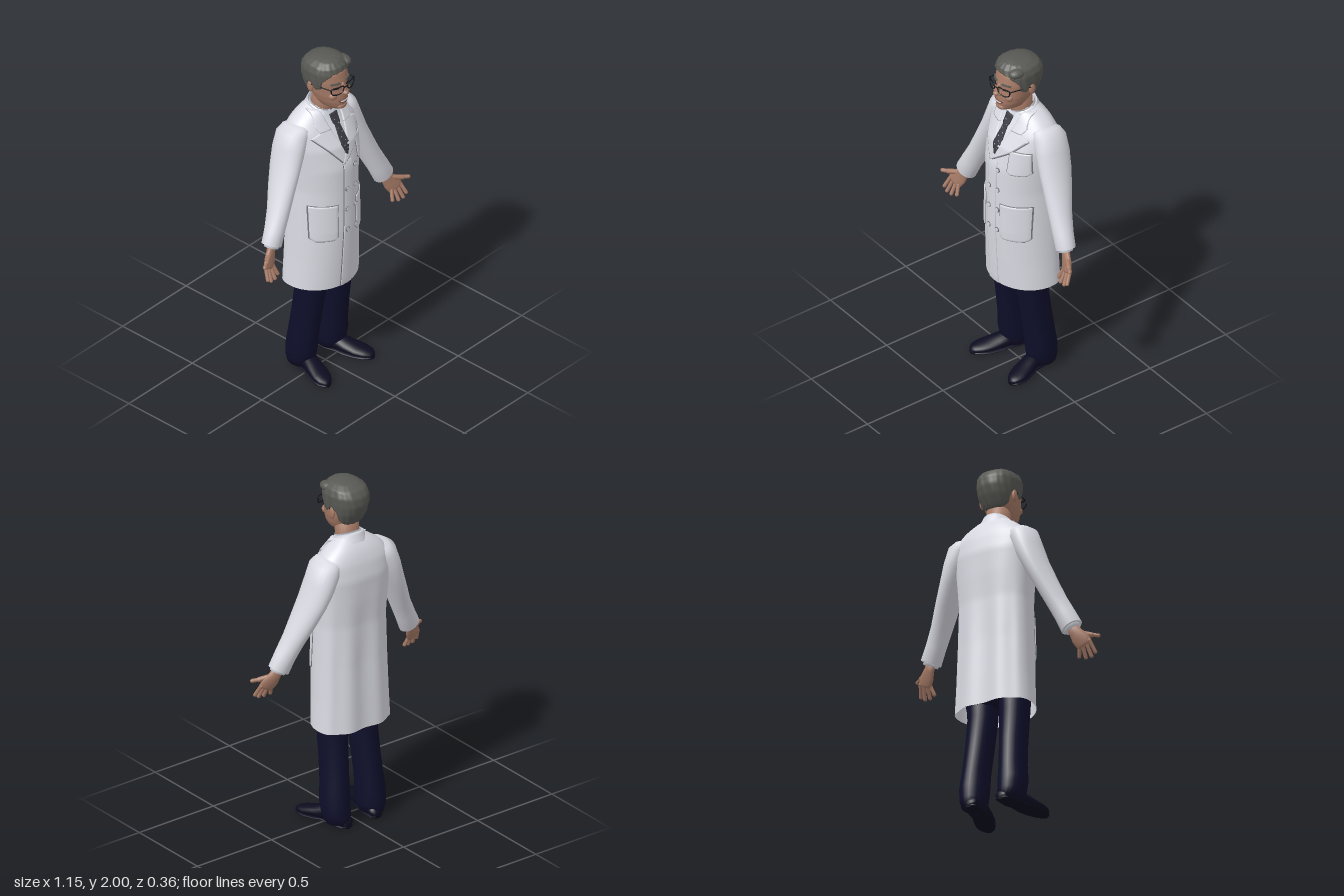
import * as THREE from 'three';
import { mergeVertices } from 'three/addons/utils/BufferGeometryUtils.js';

const mat = (name, color) => new THREE.MeshStandardMaterial({ name, color, side: THREE.DoubleSide });
const V = (x, y, z) => new THREE.Vector3(x, y, z);

// Smooth surface from a rule f(u, v) -> [x, y, z]
function grid(f, nu, nv) {
  const pos = [], idx = [];
  for (let j = 0; j <= nv; j++) for (let i = 0; i <= nu; i++) pos.push(...f(i / nu, j / nv));
  for (let j = 0; j < nv; j++) for (let i = 0; i < nu; i++) {
    const a = j * (nu + 1) + i, b = a + 1, c = b + nu + 1, d = a + nu + 1;
    idx.push(a, b, c, a, c, d);
  }
  let g = new THREE.BufferGeometry();
  g.setAttribute('position', new THREE.Float32BufferAttribute(pos, 3));
  g.setIndex(idx);
  g = mergeVertices(g, 1e-5);
  g.computeVertexNormals();
  return g;
}

// Linear lookup in a table of rows sorted by their first value
function rowAt(rows, k) {
  let i = 0;
  while (i < rows.length - 2 && k > rows[i + 1][0]) i++;
  const a = rows[i], b = rows[i + 1];
  const t = Math.min(1, Math.max(0, (k - a[0]) / (b[0] - a[0])));
  return a.map((v, n) => v + (b[n] - v) * t);
}

// Body tables: y, half width, front z, back z
const coat = { zc: -0.05, rows: [[.58, .226, .155, -.18], [.75, .217, .165, -.175], [.95, .21, .175, -.168],
  [1.2, .203, .172, -.165], [1.34, .212, .17, -.175], [1.475, .225, .14, -.18], [1.565, .225, .088, -.165],
  [1.62, .175, .058, -.145], [1.66, .12, .043, -.12], [1.69, .075, .03, -.09]] };
const head = { zc: .035, rows: [[1.69, .012, .09, .02], [1.697, .035, .115, .01], [1.715, .058, .132, -.02],
  [1.75, .077, .137, -.05], [1.79, .089, .135, -.08], [1.83, .095, .127, -.1], [1.87, .1, .127, -.115],
  [1.92, .099, .114, -.118], [1.955, .084, .094, -.095], [1.98, .045, .06, -.05], [1.985, 0, .036, .034]] };
const hair = { zc: .02, rows: [[1.74, .07, .1, -.06], [1.78, .09, .12, -.09], [1.83, .104, .132, -.118],
  [1.88, .11, .134, -.133], [1.93, .113, .127, -.13], [1.965, .101, .117, -.108], [1.988, .068, .09, -.065],
  [1.997, .035, .06, -.025], [2, 0, .021, .019]] };

// Point on a body table at height y, angle a measured from the front
function ring(t, y, a, grow = 0) {
  const [, w, zf, zb] = rowAt(t.rows, y), s = Math.sin(a), c = Math.cos(a);
  if (c >= 0) return [(w + grow) * s, y, t.zc + (zf - t.zc + grow) * c];
  return [(w + grow) * Math.sign(s) * Math.pow(Math.abs(s), .8), y, t.zc - (t.zc - zb + grow) * Math.pow(-c, .8)];
}
// Bell-shaped bump of the given sharpness
const bump = (x, sharp) => Math.exp(-Math.pow(x * sharp, 2));

// Point lifted off the front of a body table
function onFront(t, x, y, lift) {
  const [, w, zf] = rowAt(t.rows, y), d = zf - t.zc;
  const z = d * Math.sqrt(Math.max(.01, 1 - (x / w) * (x / w)));
  const n = V(x / (w * w), 0, z / (d * d)).normalize();
  return [x + n.x * lift, y, t.zc + z + n.z * lift];
}
// Thin plate on a front surface; rows are y, left x, right x
function patch(t, rows, lift) {
  const y0 = rows[0][0], y1 = rows[rows.length - 1][0], nu = 12, nv = 24;
  return grid((u, v) => {
    const edge = u === 0 || u === 1 || v === 0 || v === 1;
    const cu = Math.min(1, Math.max(0, (u * nu - 1) / (nu - 2))), cv = Math.min(1, Math.max(0, (v * nv - 1) / (nv - 2)));
    const [y, a, b] = rowAt(rows, y0 + (y1 - y0) * cv);
    return onFront(t, a + (b - a) * cu, y, edge ? 0 : lift);
  }, nu, nv);
}
const flip = rows => rows.map(([y, a, b]) => [y, -b, -a]);

// Closed tube of elliptical sections: centre, radius along p, radius along q
function limb(secs, p, q, s, n = 24) {
  const last = secs.length - 1, m = last + 2;
  const run = V(...secs[last]).sub(V(...secs[0]));
  const turn = s * Math.sign(V(...p).cross(V(...q)).dot(run));
  return grid((u, v) => {
    const k = Math.round(v * m) - 1, e = secs[Math.min(last, Math.max(0, k))];
    const f = k < 0 || k > last ? 0 : 1, a = turn * u * Math.PI * 2;
    const c = Math.cos(a) * e[3] * f, d = Math.sin(a) * e[4] * f;
    return [s * (e[0] + p[0] * c + q[0] * d), e[1] + p[1] * c + q[1] * d, e[2] + p[2] * c + q[2] * d];
  }, n, m);
}
function capsule(a, b, r) {
  const d = b.clone().sub(a), g = new THREE.CapsuleGeometry(r, d.length(), 5, 10);
  g.applyQuaternion(new THREE.Quaternion().setFromUnitVectors(V(0, 1, 0), d.clone().normalize()));
  const m = a.clone().add(b).multiplyScalar(.5);
  return g.translate(m.x, m.y, m.z);
}
const ball = (x, y, z, rx, ry, rz) => new THREE.SphereGeometry(1, 18, 12).scale(rx, ry, rz).translate(x, y, z);

export function createModel() {
  const root = new THREE.Group();
  root.name = 'manInCoat';
  const white = mat('coatWhite', 0xdadae3), seam = mat('seamGrey', 0x77777f), shirt = mat('shirtWhite', 0xe3e6f0);
  const skin = mat('skin', 0xa67a66), grey = mat('hairGrey', 0x585854), navy = mat('trouserNavy', 0x0e0e2a);
  const shoe = mat('shoeNavy', 0x0c0c20), black = mat('frameBlack', 0x14141a), tie = mat('tieGrey', 0x3b3b42);
  const lip = mat('lip', 0x744a40);
  const add = (name, g, m, parent = root) => {
    const mesh = new THREE.Mesh(g, m);
    mesh.name = name;
    parent.add(mesh);
  };

  // Coat body with soft folds and a centre pleat down the back
  add('coatBody', grid((u, v) => {
    const a = u * Math.PI * 2, y = .58 + 1.11 * v, p = ring(coat, y, a), back = Math.max(0, -Math.cos(a));
    const fade = Math.max(0, Math.min(1, (1.5 - y) * 2));
    p[2] += back * fade * .006 * (Math.cos(a * 8) + bump(a - Math.PI, 9));
    return p;
  }, 64, 56), white);
  add('frontOverlap', patch(coat, [[.582, -.045, .03], [1.38, -.035, .03]], .005), white);
  add('frontEdge', patch(coat, [[.584, -.049, -.044], [1.375, -.038, -.034]], .003), seam);

  // Shirt front, tie and lapels
  add('shirtFront', patch(coat, [[1.4, -.02, .015], [1.55, -.05, .05], [1.675, -.068, .068]], .003), shirt);
  add('tie', patch(coat, [[1.42, -.006, .006], [1.48, -.028, .028], [1.585, -.016, .016], [1.59, -.024, .024], [1.64, -.027, .027]], .009), tie);
  for (let i = 0; i < 7; i++) {
    const y = 1.475 + i * .022, x = (i % 2 ? .009 : -.009);
    add('tieDot', new THREE.CircleGeometry(.004, 8).translate(...onFront(coat, x, y, .011)), white);
  }
  const lapel = [[1.375, -.036, -.024], [1.47, .012, .1], [1.55, .044, .165], [1.562, .047, .13], [1.575, .05, .1]];
  const collarLeaf = [[1.572, .049, .118], [1.6, .056, .13], [1.675, .068, .1]];
  const rightLapel = flip(lapel);
  rightLapel[0] = [1.385, -.035, -.012];
  const grown = rows => rows.map(([y, a, b]) => [y - .005, a, b + .005]);
  add('leftLapelEdge', patch(coat, grown(lapel), .005), seam);
  add('rightLapelEdge', patch(coat, flip(grown(flip(rightLapel))), .004), seam);
  add('rightLapel', patch(coat, rightLapel, .007), white);
  add('leftLapel', patch(coat, lapel, .009), white);
  add('leftCollarLeaf', patch(coat, collarLeaf, .011), white);
  add('rightCollarLeaf', patch(coat, flip(collarLeaf), .011), white);

  // Folded collars around the neck: inner foot, top edge, outer edge
  const collar = (gap, prof) => grid((u, v) => {
    const a = gap + u * (Math.PI * 2 - 2 * gap), tilt = (1 - Math.cos(a)) / 2;
    const [, r, yf, yb] = rowAt(prof, 1 - v);
    return [r * Math.sin(a), yf + (yb - yf) * tilt, -.018 + r * .95 * Math.cos(a)];
  }, 40, 8);
  add('coatCollar', collar(.75, [[0, .08, 1.6, 1.66], [.5, .083, 1.655, 1.718], [1, .108, 1.61, 1.665]]), white);
  add('shirtCollar', collar(.22, [[0, .07, 1.6, 1.66], [.5, .072, 1.668, 1.724], [1, .08, 1.625, 1.68]]), shirt);

  // Pockets with stitched openings
  const pocket = (name, x0, x1, y0, y1) => {
    const c = .015;
    add(name + 'Edge', patch(coat, [[y0 - .004, x0 + c, x1 - c], [y0 + c, x0 - .004, x1 + .004], [y1 + .004, x0 - .004, x1 + .004]], .002), seam);
    add(name, patch(coat, [[y0, x0 + c, x1 - c], [y0 + c, x0, x1], [y1, x0, x1]], .006), white);
  };
  pocket('chestPocket', .095, .188, 1.335, 1.475);
  pocket('leftPocket', .06, .185, .9, 1.12);
  pocket('rightPocket', -.185, -.075, .9, 1.12);

  // Double row of buttons
  for (const y of [1.34, 1.21, 1.08, .95]) for (const x of [-.02, .045]) {
    if (y > 1.3 && x < 0) continue;
    const p = onFront(coat, x, y, .006);
    add('buttonRim', new THREE.CylinderGeometry(.014, .014, .006, 16).rotateX(Math.PI / 2).translate(...p), seam);
    add('button', new THREE.CylinderGeometry(.011, .012, .01, 16).rotateX(Math.PI / 2).translate(...p), white);
  }

  // Arms, hands, legs and shoes for both sides
  for (const s of [1, -1]) {
    const side = s > 0 ? 'left' : 'right';
    const P = (x, y, z) => V(s * x, y, z);
    add(side + 'Sleeve', limb([[.14, 1.6, -.06, .02, .05], [.165, 1.58, -.06, .056, .085], [.19, 1.545, -.062, .075, .1],
      [.225, 1.46, -.06, .07, .102], [.262, 1.37, -.05, .061, .098], [.31, 1.265, -.032, .057, .085],
      [.36, 1.155, -.01, .055, .068], [.405, 1.065, .006, .057, .058], [.44, .99, .015, .061, .053],
      [.44, .99, .015, .05, .044]], [.89, .45, 0], [0, .1, 1], s), white);
    add(side + 'ShirtCuff', limb([[.43, 1.01, .015, .046, .04], [.446, .977, .019, .046, .038]], [.89, .45, 0], [0, .1, 1], s), shirt);

    const hand = new THREE.Group();
    hand.name = side + 'Hand';
    root.add(hand);
    add('palm', limb([[.44, .99, .018, .03, .022], [.46, .955, .026, .036, .021], [.478, .925, .036, .047, .02],
      [.496, .893, .049, .046, .017], [.502, .882, .053, .036, .012]], [.89, .45, .1], [0, .3, .95], s, 16), skin, hand);
    [[.467, .884, .05, .453, .834, .07], [.486, .885, .052, .487, .826, .082], [.508, .892, .054, .52, .828, .085],
      [.528, .905, .052, .545, .845, .084]].forEach(f => add('finger', capsule(P(f[0], f[1], f[2]), P(f[3], f[4], f[5]), .0105), skin, hand));
    add('thumb', capsule(P(.48, .955, .035), P(.535, .94, .065), .014), skin, hand);
    add('thumbTip', capsule(P(.535, .94, .065), P(.566, .936, .082), .011), skin, hand);

    add(side + 'TrouserLeg', limb([[.115, .025, -.075, .062, .075], [.118, .07, -.068, .075, .088], [.12, .14, -.06, .079, .092],
      [.114, .24, -.05, .073, .09], [.106, .38, -.032, .074, .09], [.1, .56, -.01, .08, .09],
      [.1, .75, -.005, .086, .1]], [1, 0, 0], [0, 0, 1], s), navy);
    const toe = [[-.153, .1, .02, .03], [-.14, .1, .04, .055], [-.06, .11, .047, .09], [0, .122, .05, .088],
      [.05, .137, .055, .07], [.11, .156, .057, .052], [.15, .166, .047, .043], [.175, .171, .03, .033], [.185, .173, .014, .022]];
    add(side + 'Shoe', limb(toe.map(([z, x, w, h]) => [x, h / 2 + .008, z, w, h / 2]), [1, 0, 0], [0, 1, 0], s), shoe);
    add(side + 'Sole', limb(toe.map(([z, x, w]) => [x, z > -.05 && z < .02 ? .016 : .01, z, w, .01]), [1, 0, 0], [0, 1, 0], s), shoe);
  }
  add('trouserSeat', limb([[0, .62, -.01, .19, .1], [0, .68, -.01, .2, .12], [0, .95, -.01, .16, .1]], [1, 0, 0], [0, 0, 1], 1), navy);

  // Head, neck and features
  add('neck', limb([[0, 1.6, -.025, .07, .068], [0, 1.68, -.015, .066, .064], [0, 1.78, -.005, .068, .066]], [1, 0, 0], [0, 0, 1], 1), skin);
  add('head', grid((u, v) => ring(head, 1.69 + .295 * v, u * Math.PI * 2), 40, 40), skin);
  add('noseBridge', capsule(V(0, 1.86, .124), V(0, 1.822, .144), .011), skin);
  add('noseTip', ball(0, 1.815, .146, .017, .014, .019), skin);
  add('chin', ball(0, 1.722, .118, .034, .02, .021), skin);
  add('mouth', patch(head, [[1.75, -.014, .014], [1.757, -.03, .03], [1.766, -.036, .036]], .005), lip);
  add('teeth', patch(head, [[1.758, -.022, .022], [1.764, -.027, .027]], .008), shirt);
  for (const s of [1, -1]) {
    add('nostrilWing', ball(s * .016, 1.812, .134, .01, .009, .012), skin);
    add('cheek', ball(s * .05, 1.795, .1, .027, .024, .024), skin);
    add('ear', ball(s * .102, 1.832, -.015, .011, .034, .02), skin);
    const span = (y0, y1, a, b) => s > 0 ? [[y0, a, b], [y1, a, b]] : [[y0, -b, -a], [y1, -b, -a]];
    add('eye', patch(head, span(1.841, 1.849, .028, .058), .004), black);
    add('eyebrow', patch(head, span(1.872, 1.88, .022, .07), .007), grey);
    // Spectacle rim and temple arm
    const rim = [[.016, 1.862], [.05, 1.866], [.088, 1.862], [.084, 1.832], [.052, 1.822], [.022, 1.831]]
      .map(([x, y]) => V(s * x, y, .148 - x * x * 3));
    add('spectacleRim', new THREE.TubeGeometry(new THREE.CatmullRomCurve3(rim, true), 36, .0035, 6, true), black);
    add('spectacleArm', capsule(V(s * .088, 1.857, .125), V(s * .108, 1.85, -.015), .003), black);
  }
  add('spectacleBridge', capsule(V(-.017, 1.853, .148), V(.017, 1.853, .148), .003), black);

  // Hair cap: hairline height by angle from the front, combed ridges and a side parting
  const line = [[0, 1.942], [.55, 1.937], [.95, 1.905], [1.2, 1.885], [1.32, 1.835], [1.55, 1.83], [1.65, 1.862],
    [1.95, 1.85], [2.1, 1.79], [2.5, 1.765], [Math.PI, 1.76]];
  add('hair', grid((u, v) => {
    const a = u * Math.PI * 2, b = Math.min(a, Math.PI * 2 - a), low = rowAt(line, b)[1];
    if (v === 0) return ring(head, low, a, -.004);
    const t = (v * 30 - 1) / 29, y = low + (2 - low) * Math.sin(t * Math.PI / 2);
    const comb = .0025 * Math.sin(a * 18 + y * 30) * (1 - t);
    const part = -.006 * bump(a - .5, 7) * Math.sin(t * Math.PI);
    return ring(hair, y, a, comb + part);
  }, 96, 30), grey);
  add('hairSweep', ball(.072, 1.952, .062, .036, .028, .05), grey);
  return root;
}
